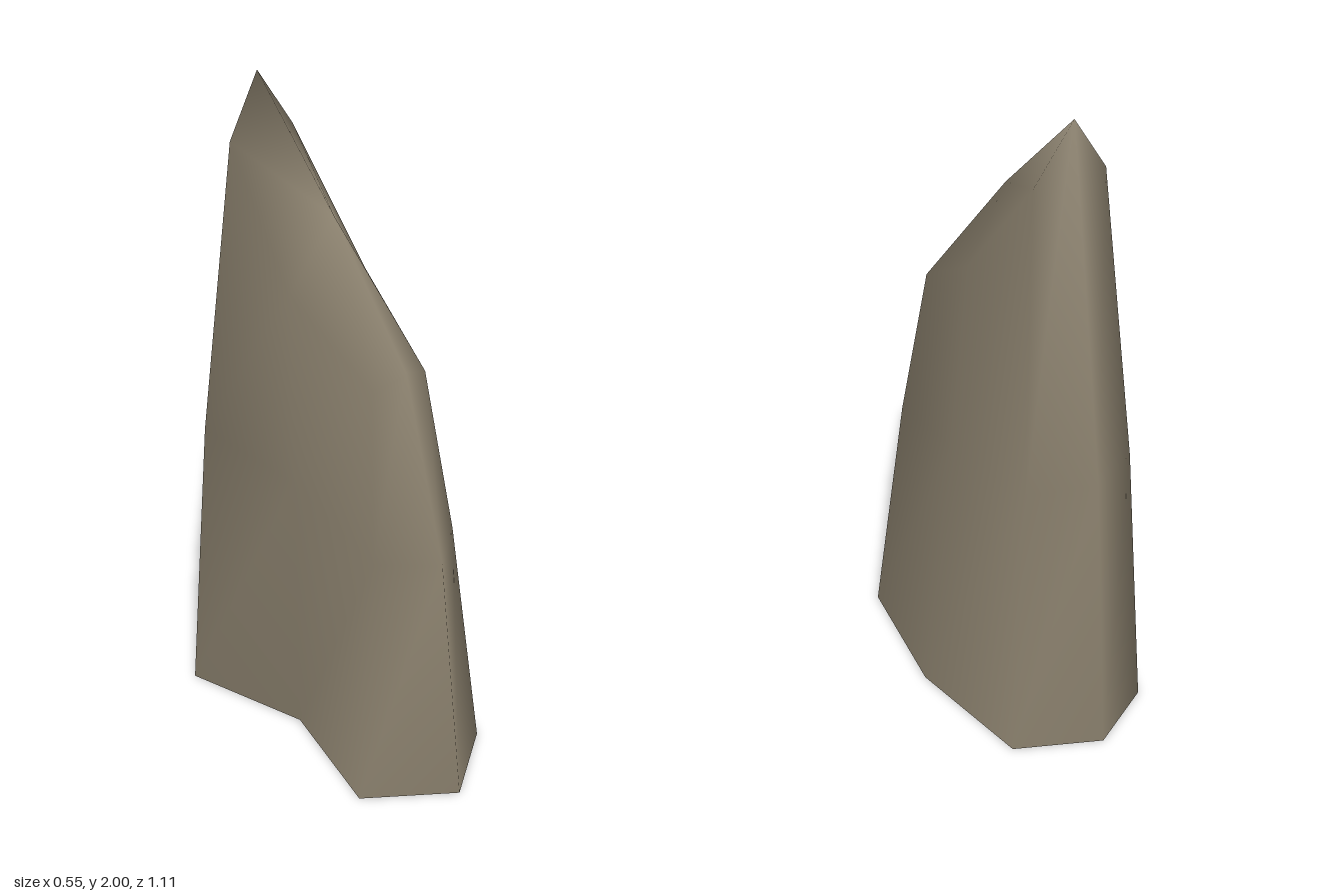
import * as THREE from 'three';

export function createModel() {
  const group = new THREE.Group();
  const stone = new THREE.MeshStandardMaterial({ color: 0x8a806d, side: THREE.DoubleSide });
  stone.name = 'stone';

  // Eight-sided cross-sections, clockwise from the back as seen from above
  const rings = [
    // open base
    [[-0.035, 0, -0.555], [0.215, 0, -0.44], [0.275, 0, -0.03], [0.21, 0, 0.38],
      [-0.035, 0, 0.555], [-0.275, 0, 0.38], [-0.15, 0, -0.035], [-0.245, 0, -0.44]],
    // middle
    [[-0.035, 0.92, -0.485], [0.145, 0.9, -0.39], [0.165, 0.85, -0.03], [0.12, 0.75, 0.34],
      [-0.035, 0.74, 0.46], [-0.19, 0.75, 0.34], [-0.165, 0.85, -0.03], [-0.21, 0.9, -0.39]],
    // slanted upper rim with the tip at the back
    [[-0.035, 2, -0.325], [0.08, 1.82, -0.31], [0.11, 1.45, -0.03], [0.065, 1.25, 0.27],
      [-0.035, 1.285, 0.3], [-0.135, 1.25, 0.27], [-0.175, 1.45, -0.03], [-0.15, 1.82, -0.31]],
  ];
  const n = 8;
  const points = rings.flat();
  const crown = points.length;
  points.push([-0.035, 1.66, 0]); // raised middle of the slanted top

  const index = [];
  for (let r = 0; r < rings.length - 1; r++) {
    for (let i = 0; i < n; i++) {
      const j = (i + 1) % n;
      const a = r * n + i, b = r * n + j, c = a + n, d = b + n;
      index.push(a, c, b, b, c, d);
    }
  }
  // Fan closing the top
  for (let i = 0; i < n; i++) {
    index.push(crown, 2 * n + (i + 1) % n, 2 * n + i);
  }

  const geometry = new THREE.BufferGeometry();
  geometry.setAttribute('position', new THREE.Float32BufferAttribute(points.flat(), 3));
  geometry.setIndex(index);
  geometry.computeVertexNormals();

  const spire = new THREE.Mesh(geometry, stone);
  spire.name = 'rockSpire';
  group.add(spire);
  return group;
}
